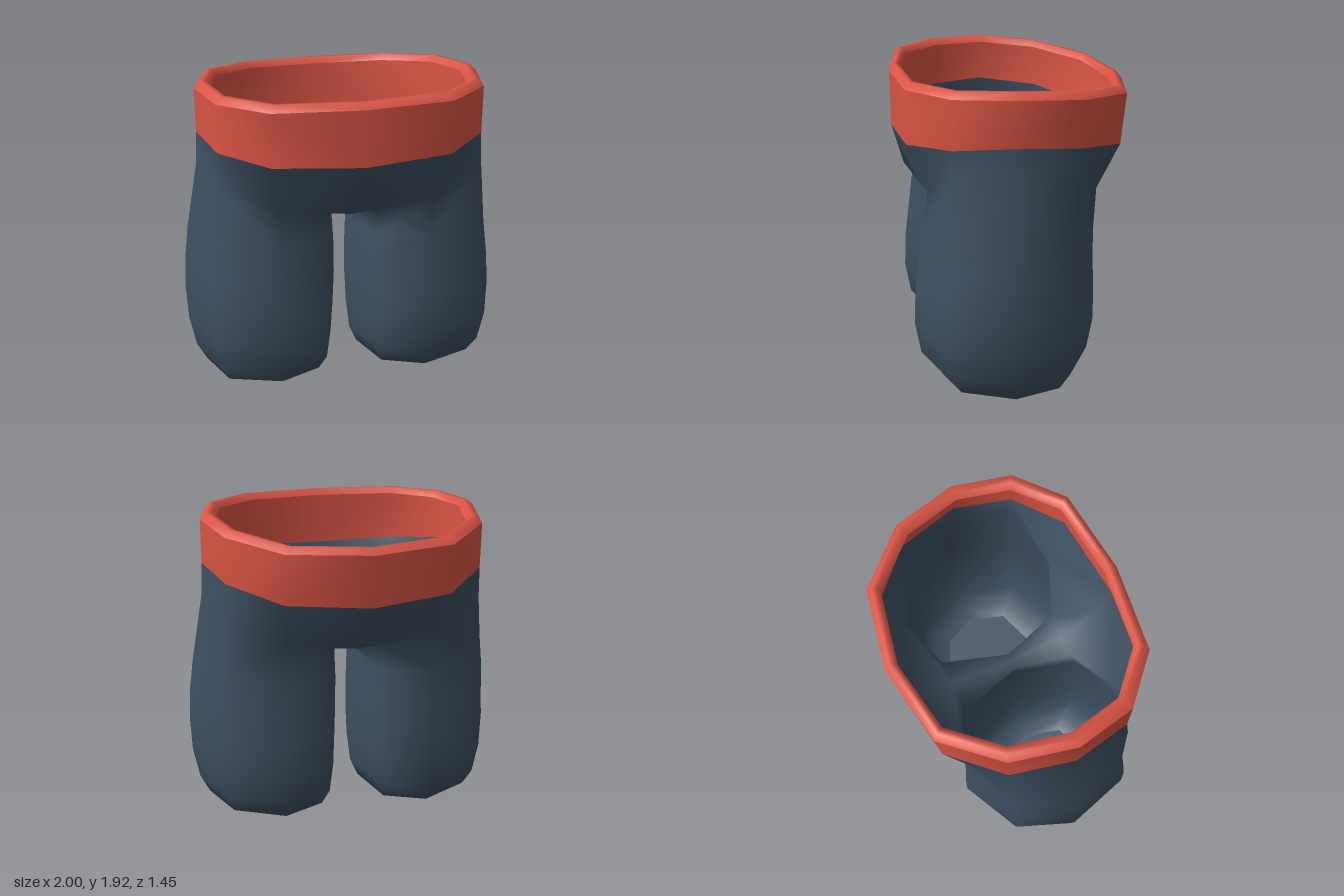
import * as THREE from 'three';
import { mergeVertices } from 'three/addons/utils/BufferGeometryUtils.js';

const cloth = new THREE.MeshStandardMaterial({ color: 0x3e5062, side: THREE.DoubleSide });
cloth.name = 'slate cloth';
const red = new THREE.MeshStandardMaterial({ color: 0xd85444, side: THREE.DoubleSide });
red.name = 'red band';

// Half of the waist, front centre to back centre (x, y, z)
const waistBottom = [[0, 1.55, 0.72], [0.53, 1.57, 0.66], [0.8, 1.6, 0.42], [0.88, 1.62, 0.06],
  [0.79, 1.58, -0.32], [0.5, 1.51, -0.61], [0, 1.48, -0.69]];
const waistTop = [[0, 1.89, 0.72], [0.53, 1.89, 0.66], [0.8, 1.89, 0.42], [0.88, 1.89, 0.06],
  [0.79, 1.86, -0.33], [0.5, 1.815, -0.64], [0, 1.8, -0.73]];

// Leg cross-section, inner side first, then front, outer side, back
const section = [[-1, 0], [-0.77, 0.73], [-0.1, 1], [0.73, 0.73], [1, 0], [0.7, -0.66], [-0.1, -1], [-0.77, -0.75]];

// Leg rings from the hem up: height, inner x, outer x, front z, back z
const legRings = [
  [0.02, 0.21, 0.79, 0.41, -0.22],
  [0.065, 0.12, 0.89, 0.51, -0.36],
  [0.18, 0.07, 0.95, 0.605, -0.445],
  [0.38, 0.045, 0.99, 0.64, -0.48],
  [0.6, 0.035, 1.0, 0.63, -0.48],
  [0.8, 0.035, 0.99, 0.605, -0.47],
  [1.0, 0.045, 0.965, 0.58, -0.47],
].map(([y, x0, x1, zf, zb]) => section.map(([u, v]) => {
  const z = (zf + zb) / 2 + v * (zf - zb) / 2;
  return [(x0 + x1) / 2 + u * (x1 - x0) / 2, y + 0.05 * (z - 0.08), z];
}));

// Slanted ring where the leg joins the hips
const hipRing = [[0.05, 1.08, 0.06], [0.15, 1.16, 0.41], [0.47, 1.25, 0.54], [0.8, 1.4, 0.45],
  [0.89, 1.42, 0.06], [0.8, 1.38, -0.3], [0.47, 1.23, -0.48], [0.15, 1.14, -0.35]];

// Seam down the belly, under the crotch and up the seat
const seam = [waistBottom[0], [0, 1.3, 0.65], [0, 1.14, 0.41], [0, 1.07, 0.06],
  [0, 1.12, -0.34], [0, 1.28, -0.6], waistBottom[6]];

const tri = (out, a, b, c) => out.push(...a, ...b, ...c);

// Joins two rows of points with quads
function strip(out, lower, upper, closed) {
  const n = lower.length;
  for (let i = 0; i < (closed ? n : n - 1); i++) {
    const j = (i + 1) % n;
    tri(out, lower[i], lower[j], upper[j]);
    tri(out, lower[i], upper[j], upper[i]);
  }
}

// Adds the triangles mirrored in x
function mirrored(tris) {
  const out = [...tris];
  for (let i = 0; i < tris.length; i += 9) {
    for (const k of [0, 6, 3]) out.push(-tris[i + k], tris[i + k + 1], tris[i + k + 2]);
  }
  return out;
}

function makeMesh(name, tris, material) {
  let geo = new THREE.BufferGeometry();
  geo.setAttribute('position', new THREE.Float32BufferAttribute(tris, 3));
  geo = mergeVertices(geo, 1e-4);
  geo.computeVertexNormals();
  const mesh = new THREE.Mesh(geo, material);
  mesh.name = name;
  return mesh;
}

export function createModel() {
  const group = new THREE.Group();
  group.name = 'shorts';

  // Legs and hips as one smooth surface
  const half = [];
  const rings = [...legRings, hipRing];
  for (let r = 0; r < rings.length - 1; r++) strip(half, rings[r], rings[r + 1], true);
  strip(half, hipRing.slice(2, 7), waistBottom.slice(1, 6), false);
  const inner = [waistBottom[1], hipRing[2], hipRing[1], hipRing[0], hipRing[7], hipRing[6], waistBottom[5]];
  strip(half, seam, inner, false);
  group.add(makeMesh('legsAndHips', mirrored(half), cloth));

  // Closed leg ends
  const caps = [];
  const hem = legRings[0];
  hem.forEach((p, i) => tri(caps, [0.5, 0.02, 0.09], hem[(i + 1) % hem.length], p));
  group.add(makeMesh('legEnds', mirrored(caps), cloth));

  // Waistband wall
  const wall = [];
  strip(wall, waistBottom, waistTop, false);
  group.add(makeMesh('waistband', mirrored(wall), red));

  // Rolled lip: scale about the waist centre, rise
  const lipRows = [[1, 0], [0.955, 0.038], [0.92, 0.038], [0.89, 0]].map(([s, dy]) =>
    waistTop.map(([x, y, z]) => [x * s, y + dy, z * s]));
  const lip = [];
  for (let r = 0; r < 3; r++) strip(lip, lipRows[r], lipRows[r + 1], false);
  group.add(makeMesh('waistbandLip', mirrored(lip), red));

  return group;
}
